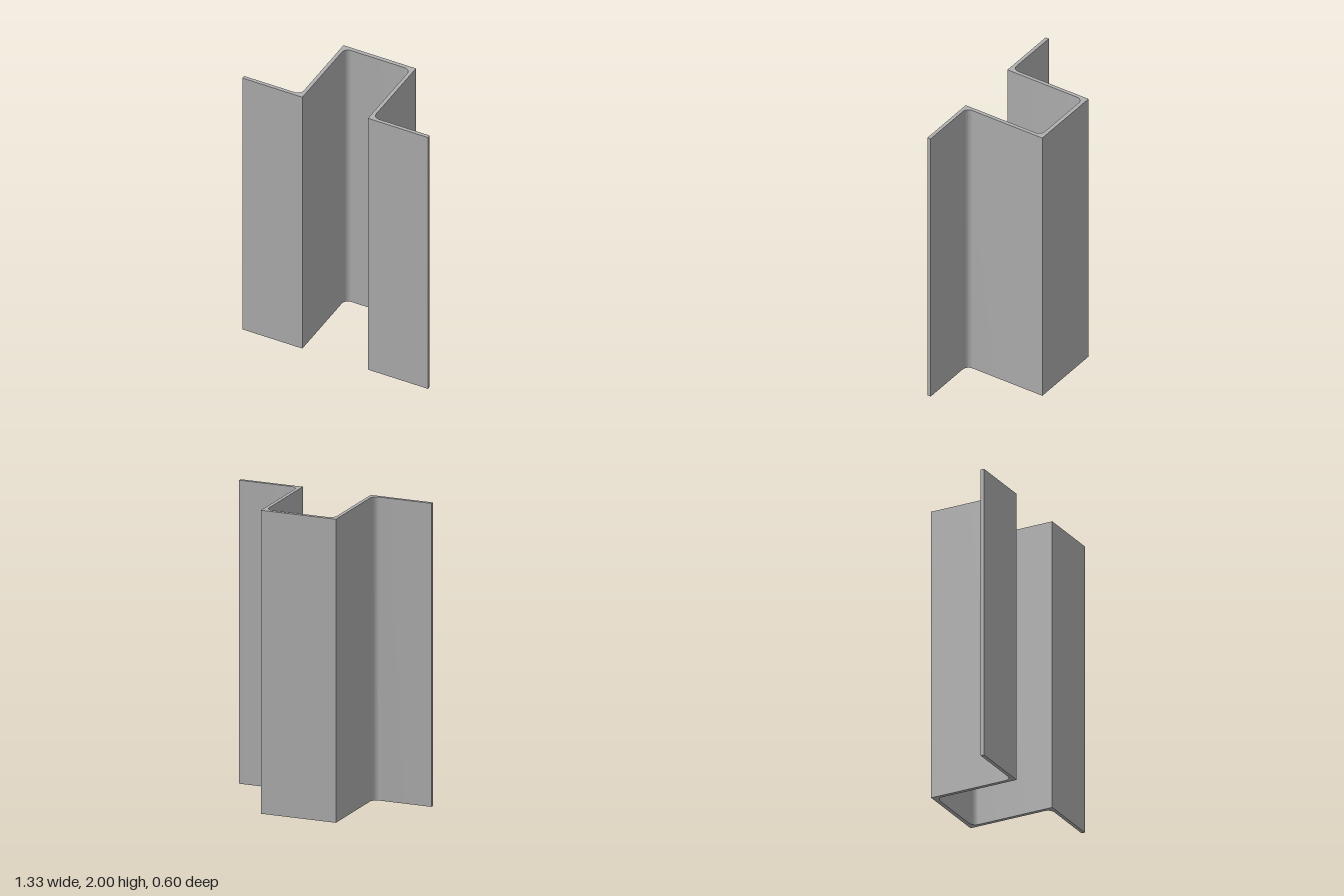
import * as THREE from 'three';
import { toCreasedNormals } from 'three/addons/utils/BufferGeometryUtils.js';

const HEIGHT = 2;
const EDGE = 0.665;                 // outer end of each flange
const OUTER = 0.26, INNER = 0.235;  // side wall faces
const BACK = 0.302, BACK_IN = 0.275; // back web faces (shape y is -z)
const FRONT = -0.302, FLANGE_IN = -0.278; // flange faces
const R = 0.045;                    // fillet radius

// Hat-shaped cross-section with filleted inner corners
function hatSection() {
  const s = new THREE.Shape();
  s.moveTo(-EDGE, FRONT);
  s.lineTo(-INNER, FRONT);
  s.lineTo(-INNER, BACK_IN - R);
  s.absarc(-INNER + R, BACK_IN - R, R, Math.PI, Math.PI / 2, true);
  s.lineTo(INNER - R, BACK_IN);
  s.absarc(INNER - R, BACK_IN - R, R, Math.PI / 2, 0, true);
  s.lineTo(INNER, FRONT);
  s.lineTo(EDGE, FRONT);
  s.lineTo(EDGE, FLANGE_IN);
  s.lineTo(OUTER + R, FLANGE_IN);
  s.absarc(OUTER + R, FLANGE_IN + R, R, -Math.PI / 2, -Math.PI, true);
  s.lineTo(OUTER, BACK);
  s.lineTo(-OUTER, BACK);
  s.lineTo(-OUTER, FLANGE_IN + R);
  s.absarc(-OUTER - R, FLANGE_IN + R, R, 0, -Math.PI / 2, true);
  s.lineTo(-EDGE, FLANGE_IN);
  s.closePath();
  return s;
}

export function createModel() {
  const group = new THREE.Group();
  group.name = 'hatChannel';

  const metal = new THREE.MeshStandardMaterial({ color: 0xb0b0b0 });
  metal.name = 'grey metal';

  // Extrude the section and stand it upright
  const extruded = new THREE.ExtrudeGeometry(hatSection(), {
    depth: HEIGHT, bevelEnabled: false, curveSegments: 10,
  });
  extruded.rotateX(-Math.PI / 2);

  const channel = new THREE.Mesh(toCreasedNormals(extruded, 0.5), metal);
  channel.name = 'channelProfile';
  group.add(channel);
  return group;
}
